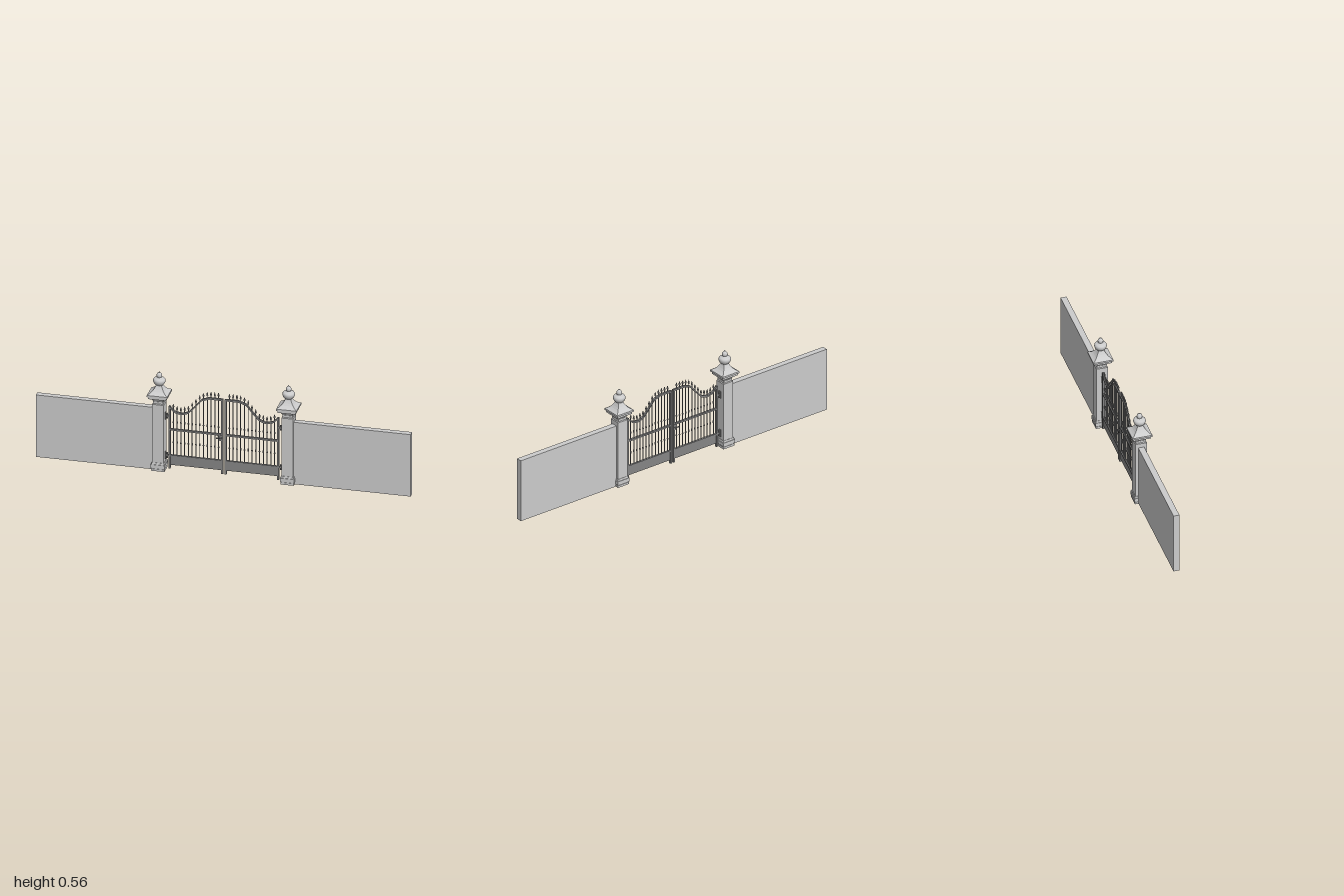
import * as THREE from 'three';

const stone = new THREE.MeshStandardMaterial({ color: 0xcccccc });
stone.name = 'stone grey';
const iron = new THREE.MeshStandardMaterial({ color: 0x858585 });
iron.name = 'iron grey';

function add(parent, name, geometry, material, x = 0, y = 0, z = 0) {
  const mesh = new THREE.Mesh(geometry, material);
  mesh.name = name;
  mesh.position.set(x, y, z);
  parent.add(mesh);
  return mesh;
}

// Box given by its lower and upper height
function slab(parent, name, material, x, y0, y1, w, d, z = 0) {
  return add(parent, name, new THREE.BoxGeometry(w, y1 - y0, d), material, x, (y0 + y1) / 2, z);
}

// Square tapering block from half-width a (bottom) to b (top)
function taper(parent, name, y0, y1, a, b) {
  const g = new THREE.CylinderGeometry(b * Math.SQRT2, a * Math.SQRT2, y1 - y0, 4, 1)
    .rotateY(Math.PI / 4).toNonIndexed();
  g.computeVertexNormals();
  return add(parent, name, g, stone, 0, (y0 + y1) / 2);
}

function lathe(points, segments) {
  return new THREE.LatheGeometry(points.map(([r, y]) => new THREE.Vector2(r, y)), segments);
}

function makePillar() {
  const pillar = new THREE.Group();
  pillar.name = 'pillar';
  // Square mouldings: bottom, top, half-width below, half-width above
  [
    ['plinth', 0, 0.012, 0.0355, 0.0355],
    ['plinthGroove', 0.012, 0.017, 0.033, 0.033],
    ['baseMoulding', 0.017, 0.037, 0.038, 0.038],
    ['baseSlope', 0.037, 0.047, 0.035, 0.033],
    ['shaft', 0.047, 0.379, 0.031, 0.031],
    ['shaftChamfer', 0.379, 0.383, 0.031, 0.027],
    ['neck', 0.383, 0.395, 0.027, 0.027],
    ['capFlare', 0.395, 0.415, 0.025, 0.037],
    ['capSlab', 0.415, 0.428, 0.048, 0.048],
    ['capEdge', 0.428, 0.438, 0.054, 0.054],
  ].forEach(([name, ...size]) => taper(pillar, name, ...size));

  // Concave pyramid roof
  const roof = [[0.054, 0.438], [0.043, 0.444], [0.033, 0.452], [0.025, 0.462], [0.018, 0.474], [0.014, 0.486]];
  for (let i = 0; i < roof.length - 1; i++) {
    taper(pillar, 'roof', roof[i][1], roof[i + 1][1], roof[i][0], roof[i + 1][0]);
  }

  // Turned finial: urn, collar, ball and tip
  add(pillar, 'finialUrn', lathe([[0, 0.479], [0.012, 0.48], [0.022, 0.485], [0.029, 0.493], [0.033, 0.504],
    [0.032, 0.512], [0.028, 0.518], [0.021, 0.52], [0.014, 0.521], [0.012, 0.526]], 24), stone);
  add(pillar, 'finialBall', lathe([[0.009, 0.521], [0.0135, 0.529], [0.0148, 0.536], [0.013, 0.543],
    [0.008, 0.549], [0.003, 0.55], [0.003, 0.554], [0, 0.557]], 20), stone);
  return pillar;
}

// Height of the sweeping top rail at distance x from the gate centre
function railHeight(x) {
  const knots = [[0.008, 0.433], [0.08, 0.433], [0.12, 0.418], [0.16, 0.37], [0.19, 0.338], [0.225, 0.326], [0.26, 0.334], [0.29, 0.36]];
  let i = 0;
  while (i < knots.length - 2 && x > knots[i + 1][0]) i++;
  const [x0, y0] = knots[i], [x1, y1] = knots[i + 1];
  return y0 + (y1 - y0) * (x - x0) / (x1 - x0);
}

// One gate leaf on the +x side
function makeLeaf() {
  const leaf = new THREE.Group();
  leaf.name = 'gateLeaf';
  const mid = 0.149, span = 0.282;
  slab(leaf, 'meetingStile', iron, 0.009, 0.01, 0.436, 0.011, 0.013);
  slab(leaf, 'hingeStile', iron, 0.29, 0.01, 0.366, 0.009, 0.013);
  slab(leaf, 'kickPanel', iron, mid, 0.03, 0.083, span, 0.006);
  slab(leaf, 'lowerRail', iron, mid, 0.079, 0.087, span, 0.012);
  slab(leaf, 'middleRail', iron, mid, 0.228, 0.237, span, 0.012);

  // Sweeping top rail as a flat extruded band
  const pts = [];
  for (let i = 0; i <= 28; i++) {
    const x = 0.008 + span * i / 28;
    pts.push(new THREE.Vector2(x, railHeight(x)));
  }
  const band = new THREE.Shape([
    ...pts.map(p => new THREE.Vector2(p.x, p.y - 0.005)),
    ...pts.slice().reverse().map(p => new THREE.Vector2(p.x, p.y + 0.005)),
  ]);
  add(leaf, 'topRail', new THREE.ExtrudeGeometry(band, { depth: 0.012, bevelEnabled: false }), iron, 0, 0, -0.006);

  // Upright bars with spear tips and collars
  const spear = lathe([[0.0025, 0], [0.0025, 0.012], [0.0055, 0.017], [0.004, 0.025], [0, 0.037]], 8);
  const collar = lathe([[0.0024, -0.008], [0.0048, -0.002], [0.0035, 0.004], [0.0024, 0.009]], 8);
  for (let i = 1; i <= 13; i++) {
    const x = 0.009 + 0.281 * i / 14;
    const top = railHeight(x);
    add(leaf, 'bar', new THREE.CylinderGeometry(0.0026, 0.0026, top - 0.08, 8), iron, x, (top + 0.08) / 2);
    add(leaf, 'spearTip', spear, iron, x, top + 0.003);
    add(leaf, 'collar', collar, iron, x, 0.16);
    add(leaf, 'collar', collar, iron, x, 0.275);
  }

  // Hinges joining the leaf to the pillar
  for (const y of [0.082, 0.308]) {
    slab(leaf, 'hingePlate', iron, 0.312, y - 0.02, y + 0.02, 0.005, 0.016);
    slab(leaf, 'hingeArm', iron, 0.302, y - 0.004, y + 0.004, 0.022, 0.008);
    add(leaf, 'hingePin', new THREE.CylinderGeometry(0.004, 0.004, 0.03, 10), iron, 0.303, y);
  }
  return leaf;
}

export function createModel() {
  const model = new THREE.Group();
  model.name = 'gatewayWithWalls';
  for (const side of [1, -1]) {
    slab(model, 'wall', stone, side * 0.68, 0, 0.355, 0.64, 0.032);
    const pillar = makePillar();
    pillar.position.x = side * 0.345;
    model.add(pillar);
    const leaf = makeLeaf();
    if (side < 0) leaf.rotation.y = Math.PI;
    model.add(leaf);
  }

  // Lock case with a lever handle on both faces
  slab(model, 'lockCase', iron, -0.016, 0.2, 0.232, 0.018, 0.016);
  for (const z of [0.012, -0.012]) {
    slab(model, 'handleStem', iron, -0.012, 0.214, 0.219, 0.005, 0.012, z);
    slab(model, 'handleLever', iron, -0.024, 0.214, 0.219, 0.028, 0.004, z * 1.3);
  }
  return model;
}
